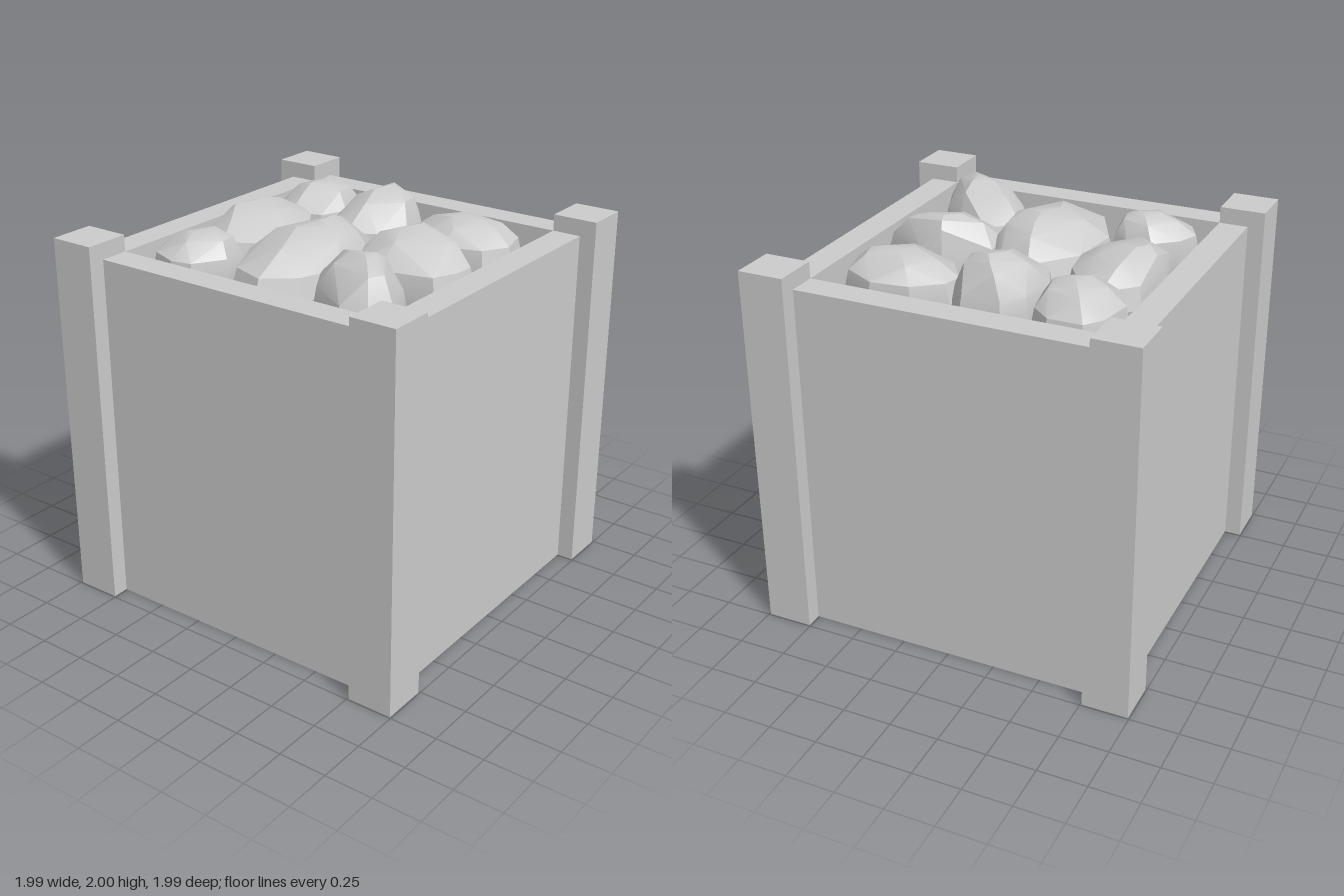
import * as THREE from 'three';
import { ConvexGeometry } from 'three/addons/geometries/ConvexGeometry.js';
import { toCreasedNormals } from 'three/addons/utils/BufferGeometryUtils.js';

const grey = new THREE.MeshStandardMaterial({ color: 0xcccccc });

// Seeded generator for the uneven rock outlines
function seeded(seed) {
  let s = seed * 7919 + 17;
  return () => {
    s = (s * 16807) % 2147483647;
    return s / 2147483647;
  };
}

// Hull over stacked rings that narrow and lean from the outline to the peak
function makeRock(name, seed, [cx, cz], [rx, rz], [px, pz, top], yaw = 0) {
  const random = seeded(seed);
  for (let i = 0; i < 5; i++) random();
  const sides = 9;
  const outline = [];
  for (let i = 0; i < sides; i++) {
    const a = ((i + .5 * random()) / sides) * Math.PI * 2;
    const r = .97 + .12 * random();
    const u = Math.cos(a) * rx * r, v = Math.sin(a) * rz * r;
    outline.push([u * Math.cos(yaw) - v * Math.sin(yaw), u * Math.sin(yaw) + v * Math.cos(yaw)]);
  }
  const shoulder = 1.83, rise = top - shoulder;
  const points = [new THREE.Vector3(px, top, pz)];
  // Ring: scale, height, lean towards the peak
  function ring(scale, y, lean, step = 1) {
    for (let i = 0; i < sides; i += step) {
      const [u, v] = outline[i];
      points.push(new THREE.Vector3(
        THREE.MathUtils.lerp(cx, px, lean) + u * scale, y,
        THREE.MathUtils.lerp(cz, pz, lean) + v * scale));
    }
  }
  ring(.6, 1.47, 0);
  ring(.92, 1.6, 0);
  ring(1, 1.72, 0);
  ring(.91, shoulder, 0);
  ring(.6, shoulder + rise * .68, .5, 2);
  ring(.3, shoulder + rise * .93, .85, 3);

  const mesh = new THREE.Mesh(toCreasedNormals(new ConvexGeometry(points), .4), grey);
  mesh.name = name;
  return mesh;
}

function makeBox(name, w, h, d, x, z) {
  const mesh = new THREE.Mesh(new THREE.BoxGeometry(w, h, d), grey);
  mesh.name = name;
  mesh.position.set(x, h / 2, z);
  return mesh;
}

export function createModel() {
  const model = new THREE.Group();
  model.name = 'crateOfRocks';

  // Corner posts
  const outer = .993, inner = .757, post = outer - inner, postMid = (outer + inner) / 2;
  for (const sx of [-1, 1]) {
    for (const sz of [-1, 1]) {
      model.add(makeBox('cornerPost', post, 1.92, post, sx * postMid, sz * postMid));
    }
  }

  // Side walls between the posts
  const face = .907, wall = face - inner, wallMid = (face + inner) / 2;
  for (const s of [-1, 1]) {
    model.add(makeBox(s > 0 ? 'frontWall' : 'backWall', inner * 2, 1.835, wall, 0, s * wallMid));
    model.add(makeBox(s > 0 ? 'leftWall' : 'rightWall', wall, 1.835, inner * 2, s * wallMid, 0));
  }

  // Filled body below the rocks
  model.add(makeBox('crateBody', inner * 2, 1.5, inner * 2, 0, 0));

  // Rock pile: centre, half sizes, peak
  const pile = new THREE.Group();
  pile.name = 'rockPile';
  pile.add(
    makeRock('backLeftRock', 1, [-.5, -.48], [.23, .26], [-.48, -.49, 1.955]),
    makeRock('backCentreRock', 2, [-.07, -.4], [.23, .3], [-.05, -.5, 2]),
    makeRock('backRightRock', 3, [.43, -.45], [.3, .245], [.44, -.46, 1.935]),
    makeRock('rightSideRock', 4, [-.5, .02], [.23, .37], [-.58, 0, 1.94]),
    makeRock('centreRock', 5, [-.04, .26], [.29, .45], [-.02, .16, 1.98]),
    makeRock('leftSideRock', 6, [.42, .03], [.32, .24], [.4, -.08, 1.98]),
    makeRock('frontRightRock', 7, [.42, .46], [.34, .21], [.47, .48, 2], .75),
    makeRock('frontLeftRock', 8, [-.49, .53], [.22, .21], [-.45, .48, 1.94]),
  );
  model.add(pile);

  return model;
}
